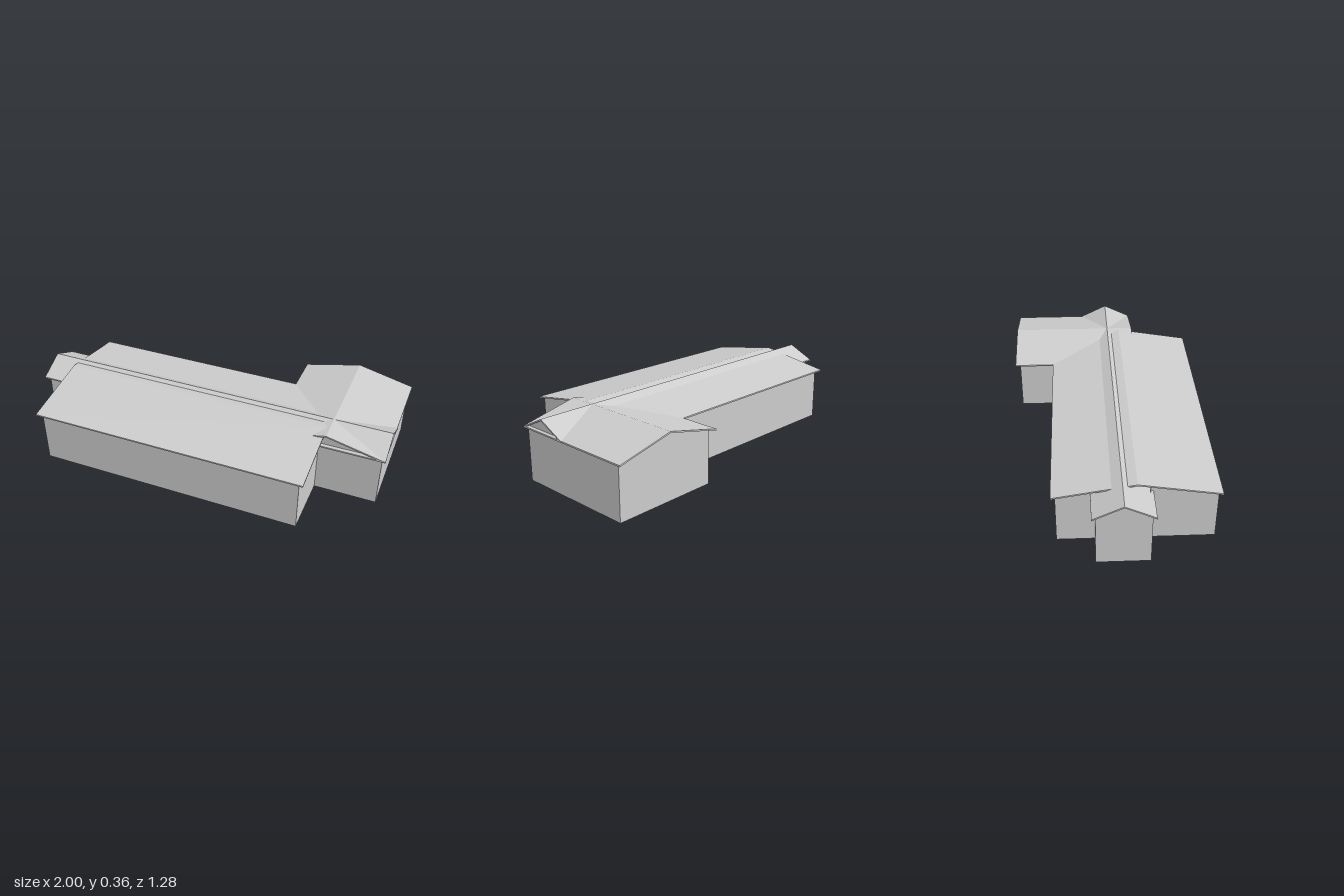
import * as THREE from 'three';

const EAVE = 0.29, THICK = 0.008;

// Three crossing gable roofs: ridge along x or z, at offset "mid", from a to b
const roofs = [
  { name: 'mainRoof', along: 'x', mid: 0.115, half: 0.405, a: -0.843, b: 0.653, ridge: 0.358 },
  { name: 'corridorRoof', along: 'x', mid: 0.045, half: 0.149, a: -0.995, b: 0.979, ridge: 0.362 },
  { name: 'wingRoof', along: 'z', mid: 0.668, half: 0.308, a: -0.511, b: 0.196, ridge: 0.361 },
];

// Wall outline of the joined building [x, z]
const outline = [
  [-0.81, 0.505], [0.63, 0.505], [0.63, 0.18], [0.96, 0.18], [0.96, -0.485], [0.385, -0.485],
  [0.385, -0.27], [-0.81, -0.27], [-0.81, -0.085], [-0.97, -0.085], [-0.97, 0.178], [-0.81, 0.178],
];

// Height of the highest roof underside over a point
function undersideAt(x, z) {
  let y = EAVE - THICK;
  for (const r of roofs) {
    const [along, across] = r.along === 'x' ? [x, z] : [z, x];
    const d = Math.abs(across - r.mid) / r.half;
    if (along < r.a || along > r.b || d > 1) continue;
    y = Math.max(y, r.ridge - (r.ridge - EAVE) * d - THICK);
  }
  return y;
}

// Thin folded slab, extruded along its ridge
function makeRoof(r, material) {
  const s = new THREE.Shape();
  s.moveTo(-r.half, EAVE);
  s.lineTo(-r.half, EAVE - THICK);
  s.lineTo(0, r.ridge - THICK);
  s.lineTo(r.half, EAVE - THICK);
  s.lineTo(r.half, EAVE);
  s.lineTo(0, r.ridge);
  s.closePath();
  const g = new THREE.ExtrudeGeometry(s, { depth: r.b - r.a, bevelEnabled: false });
  g.translate(0, 0, r.a);
  if (r.along === 'x') {
    g.rotateY(Math.PI / 2);
    g.translate(0, 0, r.mid);
  } else {
    g.translate(r.mid, 0, 0);
  }
  const mesh = new THREE.Mesh(g, material);
  mesh.name = r.name;
  return mesh;
}

// One wall whose top follows the roofs, with a break under each ridge
function makeWall([x0, z0], [x1, z1], material) {
  const stops = [];
  for (let i = 0; i <= 24; i++) stops.push(i / 24);
  for (const r of roofs) {
    const [p, q] = r.along === 'x' ? [z0, z1] : [x0, x1];
    const t = (r.mid - p) / (q - p);
    if (t > 0 && t < 1) stops.push(t);
  }
  stops.sort((a, b) => a - b);
  const pos = [], index = [];
  stops.forEach((t, i) => {
    const x = x0 + (x1 - x0) * t, z = z0 + (z1 - z0) * t;
    pos.push(x, 0, z, x, undersideAt(x, z), z);
    if (i > 0) {
      const k = 2 * i - 2;
      index.push(k, k + 2, k + 3, k, k + 3, k + 1);
    }
  });
  const g = new THREE.BufferGeometry();
  g.setAttribute('position', new THREE.Float32BufferAttribute(pos, 3));
  g.setIndex(index);
  g.computeVertexNormals();
  const mesh = new THREE.Mesh(g, material);
  mesh.name = 'wall';
  return mesh;
}

export function createModel() {
  const model = new THREE.Group();
  model.name = 'building';
  const material = new THREE.MeshStandardMaterial({
    color: 0xcccccc, flatShading: true, side: THREE.DoubleSide,
  });

  // Open-bottomed shell of walls
  const walls = new THREE.Group();
  walls.name = 'walls';
  outline.forEach((p, i) => walls.add(makeWall(p, outline[(i + 1) % outline.length], material)));

  // Roofs
  const roofGroup = new THREE.Group();
  roofGroup.name = 'roofs';
  roofs.forEach((r) => roofGroup.add(makeRoof(r, material)));

  // The whole plan is turned slightly on the site
  const body = new THREE.Group();
  body.name = 'body';
  body.add(walls, roofGroup);
  body.rotation.y = THREE.MathUtils.degToRad(8.2);
  model.add(body);
  return model;
}
